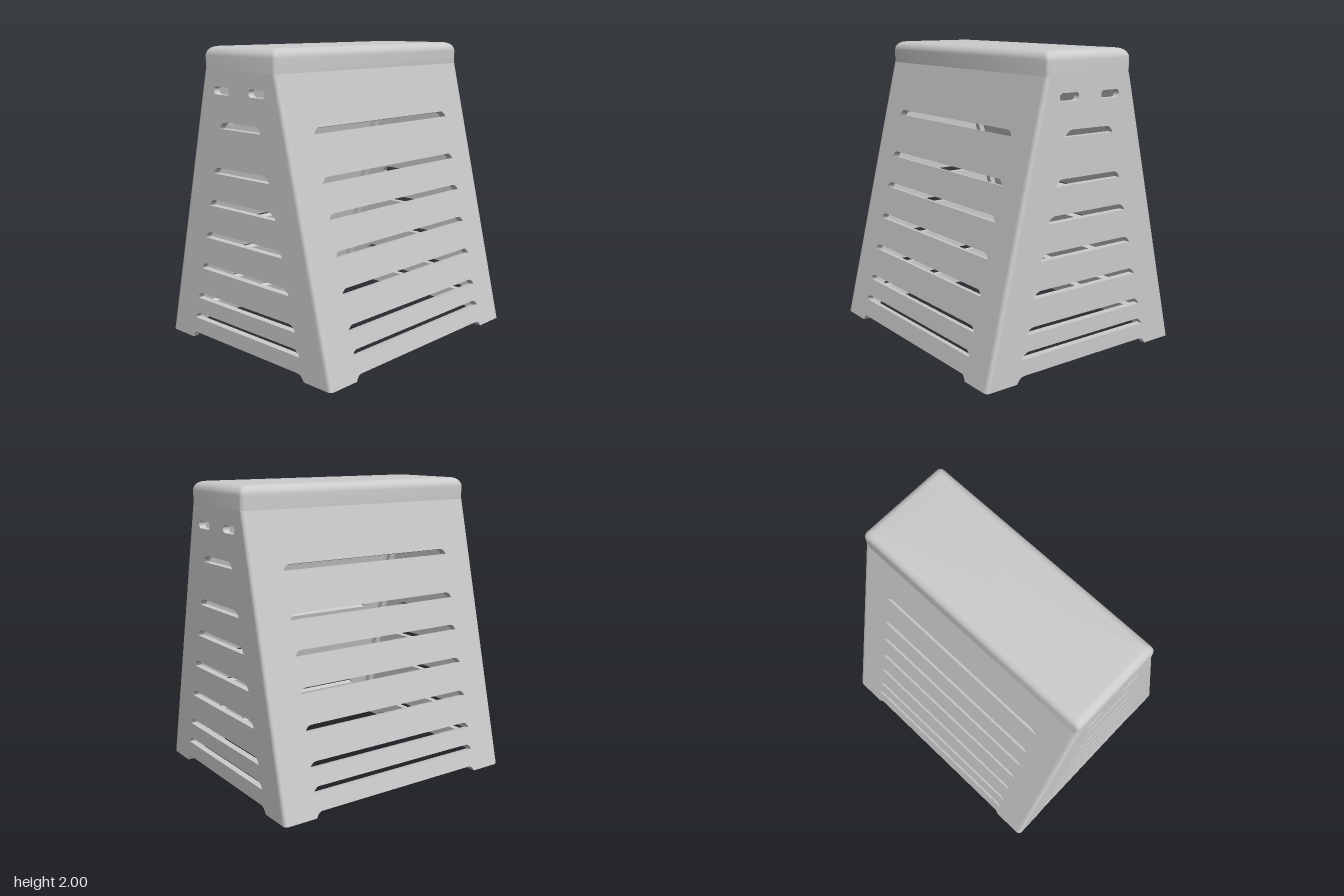
import * as THREE from 'three';
import { toCreasedNormals, mergeVertices } from 'three/addons/utils/BufferGeometryUtils.js';

const HALF_X = 0.78, HALF_Z = 0.89, SLOPE = 0.24; // footprint and taper of the sides
const CAP_Y = 1.85, TOP = 2, WALL = 0.045, EDGE = 0.03;
const SLOT_Y = [0.15, 0.3, 0.52, 0.745, 0.97, 1.19, 1.485];

// Right then left end of a slot: pointed at the bottom, curving in to the flat top
function traceSlot(path, w, y, h) {
  const run = h * 1.35;
  path.quadraticCurveTo(w - run * 0.35, y + h, w - run, y + h);
  path.lineTo(run - w, y + h);
  path.quadraticCurveTo(run * 0.35 - w, y + h, -w, y);
}

function slot(w, y, h) {
  const path = new THREE.Path();
  path.moveTo(w, y);
  traceSlot(path, w, y, h);
  path.closePath();
  return path;
}

function gripHole(x, y, w, h) {
  const r = h / 2, c = w / 2 - r, path = new THREE.Path();
  path.moveTo(x - c, y - r);
  path.lineTo(x + c, y - r);
  path.absarc(x + c, y, r, -Math.PI / 2, Math.PI / 2, false);
  path.absarc(x - c, y, r, Math.PI / 2, Math.PI * 1.5, false);
  return path;
}

// Panel outline with a notch between its feet, standing behind its z = 0 face
function panel(bottom, top, slotWidth, h, extraHoles = []) {
  const s = new THREE.Shape();
  s.moveTo(bottom, 0);
  s.lineTo(top, CAP_Y);
  s.lineTo(-top, CAP_Y);
  s.lineTo(-bottom, 0);
  s.lineTo(-slotWidth(0), 0);
  const run = h * 1.35, w = slotWidth(0);
  s.quadraticCurveTo(run * 0.35 - w, h, run - w, h);
  s.lineTo(w - run, h);
  s.quadraticCurveTo(w - run * 0.35, h, w, 0);
  s.holes = [...SLOT_Y.map((y) => slot(slotWidth(y), y, h)), ...extraHoles];
  const g = new THREE.ExtrudeGeometry(s, { depth: WALL, bevelEnabled: false, curveSegments: 8 });
  return g.translate(0, 0, -WALL);
}

// Move every vertex by a rule
function warp(g, rule) {
  const p = g.attributes.position, v = new THREE.Vector3();
  for (let i = 0; i < p.count; i++) {
    rule(v.fromBufferAttribute(p, i));
    p.setXYZ(i, v.x, v.y, v.z);
  }
  g.computeVertexNormals();
  return g;
}

// Upright bar leaning with the sides, from a plan section
function leaningBar(shape, y0, y1) {
  const g = new THREE.ExtrudeGeometry(shape, { depth: y1 - y0, bevelEnabled: false, curveSegments: 6 });
  g.rotateX(-Math.PI / 2).translate(0, y0, 0);
  return toCreasedNormals(warp(g, (v) => { v.x -= Math.sign(v.x) * SLOPE * v.y; }), 0.6);
}

// Padded top, lofted from rounded rectangles
function capGeometry() {
  const a = HALF_X - SLOPE * CAP_Y, r = 0.06, n = 6, rings = [[CAP_Y, 0], [TOP - r, 0]];
  for (let i = 1; i <= 8; i++) {
    const t = (i / 8) * Math.PI / 2;
    rings.push([TOP - r + r * Math.sin(t), r * (1 - Math.cos(t))]);
  }
  const pos = [], idx = [], count = 4 * (n + 1);
  for (const [y, inset] of rings) {
    for (let q = 0; q < 4; q++) {
      const sx = q === 0 || q === 3 ? 1 : -1, sz = q < 2 ? 1 : -1;
      for (let i = 0; i <= n; i++) {
        const t = (q + i / n) * Math.PI / 2;
        pos.push(sx * (a - inset - EDGE) + EDGE * Math.cos(t), y,
          sz * (HALF_Z - inset - EDGE) + EDGE * Math.sin(t));
      }
    }
  }
  for (let k = 0; k < rings.length - 1; k++) {
    for (let i = 0; i < count; i++) {
      const p = k * count + i, q = k * count + (i + 1) % count;
      idx.push(p, p + count, q, q, p + count, q + count);
    }
  }
  const last = (rings.length - 1) * count, mid = pos.length / 3;
  pos.push(0, CAP_Y, 0, 0, TOP, 0);
  for (let i = 0; i < count; i++) {
    const j = (i + 1) % count;
    idx.push(mid, i, j, mid + 1, last + j, last + i);
  }
  const g = new THREE.BufferGeometry();
  g.setAttribute('position', new THREE.Float32BufferAttribute(pos, 3));
  g.setIndex(idx);
  return toCreasedNormals(mergeVertices(g), 0.7);
}

export function createModel() {
  const model = new THREE.Group();
  model.name = 'vaultingBox';
  const material = new THREE.MeshStandardMaterial({ color: 0xcccccc });
  const add = (name, geometry, turn = 0) => {
    const mesh = new THREE.Mesh(geometry, material);
    mesh.name = name;
    mesh.rotation.y = turn;
    model.add(mesh);
  };

  // End panels with slots and two hand grips
  const grips = [-0.165, 0.165].map((x) => gripHole(x, 1.725, 0.15, 0.05));
  const end = panel(HALF_X - EDGE, HALF_X - EDGE - SLOPE * CAP_Y, (y) => 0.55 - SLOPE * y, 0.043, grips);
  end.translate(0, 0, HALF_Z);
  add('frontPanel', end);
  add('backPanel', end, Math.PI);

  // Long sides lean inward; their slots are cut square to the slope
  const side = panel(HALF_Z - EDGE, HALF_Z - EDGE, () => 0.66, 0.036).rotateY(Math.PI / 2);
  warp(side, (v) => {
    const depth = v.x;
    v.x = HALF_X - SLOPE * v.y + depth;
    v.y = Math.max(0, v.y + SLOPE * depth);
  });
  add('leftPanel', side);
  add('rightPanel', side, Math.PI);

  // Rounded corner edges with square posts inside them
  for (const sx of [1, -1]) {
    for (const sz of [1, -1]) {
      const at = (dx, dz) => [sx * (HALF_X - dx), -sz * (HALF_Z - dz)];
      const edge = new THREE.Shape();
      edge.moveTo(...at(WALL, WALL));
      edge.lineTo(...at(EDGE, WALL));
      edge.lineTo(...at(0, EDGE));
      edge.quadraticCurveTo(...at(0, 0), ...at(EDGE, 0));
      edge.lineTo(...at(WALL, EDGE));
      add('cornerEdge', leaningBar(edge, 0, CAP_Y));
      const post = new THREE.Shape([[0.035, 0.035], [0.09, 0.035], [0.09, 0.09], [0.035, 0.09]]
        .map(([dx, dz]) => new THREE.Vector2(...at(dx, dz))));
      add('cornerPost', leaningBar(post, 0.05, CAP_Y));
    }
  }

  add('paddedTop', capGeometry());
  return model;
}
